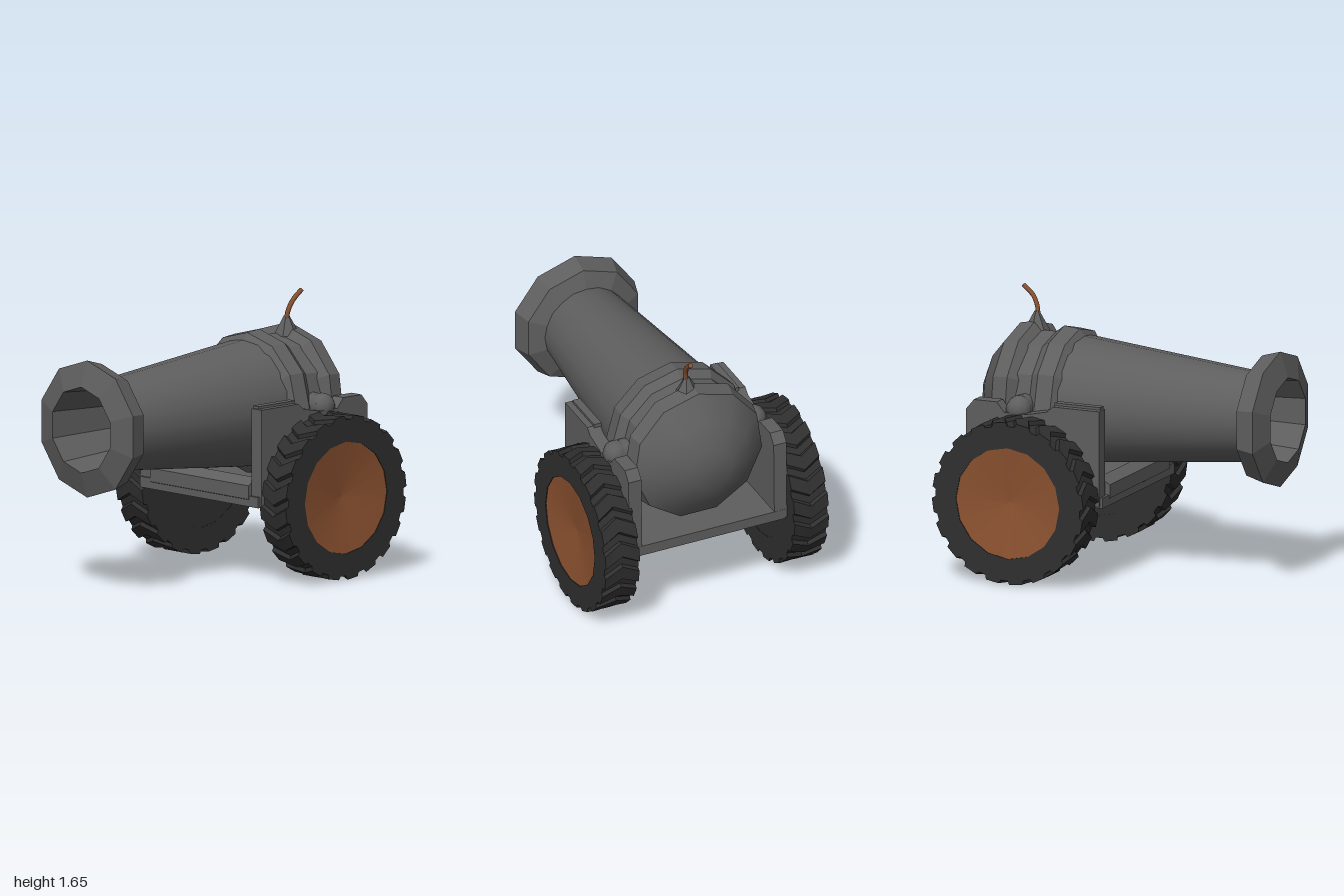
import * as THREE from 'three';
import { toCreasedNormals } from 'three/addons/utils/BufferGeometryUtils.js';

const material = (name, color) => {
  const m = new THREE.MeshStandardMaterial({ color });
  m.name = name;
  return m;
};

export function createModel() {
  const iron = material('iron grey', 0x5e5e5e);
  const rubber = material('tyre black', 0x2f2f2f);
  const wood = material('wood brown', 0x8c5230);
  const model = new THREE.Group();
  model.name = 'cannon';

  const add = (parent, name, geometry, mat, x = 0, y = 0, z = 0) => {
    const mesh = new THREE.Mesh(geometry, mat);
    mesh.name = name;
    mesh.position.set(x, y, z);
    parent.add(mesh);
    return mesh;
  };

  // Barrel parts: profiles of [x, radius] turned about the x axis
  const gun = new THREE.Group();
  gun.name = 'gun';
  gun.position.set(0, 1.0, 0.015);
  model.add(gun);
  const turned = (name, profile, sides, crease) => {
    const g = new THREE.LatheGeometry(profile.map(([x, r]) => new THREE.Vector2(r, x)), sides);
    g.rotateZ(-Math.PI / 2);
    g.rotateX(-Math.PI / 2);
    add(gun, name, toCreasedNormals(g, crease), iron);
  };
  turned('muzzle', [[-0.55, 0], [-0.55, 0.22], [-1, 0.26], [-0.95, 0.415], [-0.83, 0.38], [-0.78, 0.26]], 10, 0.1);
  turned('barrel', [[-0.8, 0.272], [0.36, 0.385]], 20, 0.6);
  turned('frontBand', [[0.31, 0.35], [0.37, 0.425], [0.47, 0.435], [0.53, 0.39]], 12, 0.1);
  turned('neck', [[0.5, 0.395], [0.64, 0.395]], 12, 0.1);
  turned('rearBand', [[0.6, 0.38], [0.66, 0.445], [0.76, 0.425]], 11, 0.1);
  turned('breech', [[0.76, 0.425], [0.87, 0.29], [0.945, 0.14], [0.95, 0]], 11, 1.2);

  // Trunnion with rounded ends
  const pin = new THREE.CylinderGeometry(0.075, 0.075, 0.94, 10).rotateX(Math.PI / 2);
  add(model, 'trunnion', toCreasedNormals(pin, 0.8), iron, 0.555, 1.015, 0.015);
  for (const s of [1, -1]) {
    add(model, 'trunnionEnd', new THREE.SphereGeometry(0.08, 10, 8), iron, 0.555, 1.015, 0.01 + s * 0.455);
  }

  // Fuse and its seat
  add(model, 'fuseSeat', toCreasedNormals(new THREE.CylinderGeometry(0.015, 0.08, 0.12, 6), 0.5), iron, 0.665, 1.44, 0.045);
  const fusePath = new THREE.CatmullRomCurve3([
    new THREE.Vector3(0.66, 1.46, 0.05), new THREE.Vector3(0.665, 1.52, 0.055),
    new THREE.Vector3(0.7, 1.59, 0.065), new THREE.Vector3(0.765, 1.645, 0.07),
  ]);
  add(model, 'fuse', new THREE.TubeGeometry(fusePath, 8, 0.015, 6), wood);
  const tip = add(model, 'fuseTip', new THREE.CircleGeometry(0.015, 6), wood);
  tip.position.copy(fusePath.getPoint(1));
  tip.lookAt(tip.position.clone().add(fusePath.getTangent(1)));

  // Carriage: cheeks, floor and front cross bar
  const cheek = new THREE.Shape([
    [-0.005, 0.48], [0.88, 0.48], [0.87, 1.0], [0.82, 1.06], [0.67, 1.06], [0.62, 1.0],
    [0.48, 1.0], [0.34, 1.03], [0.3, 1.065], [-0.005, 1.065],
  ].map(([x, y]) => new THREE.Vector2(x, y)));
  for (const z of [0.445, -0.515]) {
    add(model, 'cheek', new THREE.ExtrudeGeometry(cheek, { depth: 0.085, bevelEnabled: false }), iron, 0, 0, z);
  }
  // Raised plates along the tops of the cheeks
  for (const z of [0.465, -0.445]) {
    add(model, 'cheekCap', new THREE.BoxGeometry(0.3, 0.03, 0.05), iron, 0.16, 1.065, z);
  }
  add(model, 'floor', new THREE.BoxGeometry(0.9, 0.065, 1.02), iron, 0.43, 0.503, 0.008);
  const bar = new THREE.CylinderGeometry(0.082, 0.082, 0.85, 6).rotateX(Math.PI / 2);
  add(model, 'crossBar', toCreasedNormals(bar, 0.1), iron, 0.045, 0.557, 0.015);

  // Wheel: toothed tyre with a chevron tread and a dished wooden hub
  const teeth = 20, width = 0.225, hubRadius = 0.34;
  const polar = (r, a) => new THREE.Vector2(r * Math.cos(a), r * Math.sin(a));
  const outline = [];
  for (let i = 0; i < teeth; i++) {
    const step = (Math.PI * 2) / teeth;
    for (const [r, f] of [[0.474, 0], [0.498, 0.08], [0.496, 0.62], [0.474, 0.7]]) outline.push(polar(r, (i + f) * step));
  }
  const tyreShape = new THREE.Shape(outline);
  const rim = [];
  for (let i = 0; i < 16; i++) rim.push(polar(hubRadius, (-i / 16) * Math.PI * 2));
  tyreShape.holes.push(new THREE.Path(rim));
  const tyre = new THREE.ExtrudeGeometry(tyreShape, { depth: width, steps: 2, bevelEnabled: false });
  tyre.translate(0, 0, -width / 2);
  // Swing the middle layer of the tread round to form the chevrons
  const p = tyre.attributes.position;
  for (let i = 0; i < p.count; i++) {
    const x = p.getX(i), y = p.getY(i);
    if (Math.abs(p.getZ(i)) > 0.01 || Math.hypot(x, y) < 0.4) continue;
    const c = Math.cos(0.12), s = Math.sin(0.12);
    p.setXY(i, x * c - y * s, x * s + y * c);
  }
  const tyreGeometry = toCreasedNormals(tyre, 0.5);
  const dish = new THREE.LatheGeometry([new THREE.Vector2(hubRadius, -0.005), new THREE.Vector2(0, -0.045)], 16);
  dish.rotateX(Math.PI / 2);
  const back = new THREE.CylinderGeometry(hubRadius, hubRadius, 0.1, 16).rotateX(Math.PI / 2);

  for (const s of [1, -1]) {
    const wheel = new THREE.Group();
    wheel.name = s > 0 ? 'frontWheel' : 'backWheel';
    wheel.position.set(0.495, 0.5, s * 0.625);
    if (s < 0) wheel.rotation.y = Math.PI;
    add(wheel, 'tyre', tyreGeometry, rubber);
    add(wheel, 'hub', dish, wood, 0, 0, width / 2);
    add(wheel, 'wheelBack', back, rubber, 0, 0, -width / 2 + 0.052);
    model.add(wheel);
  }
  return model;
}
